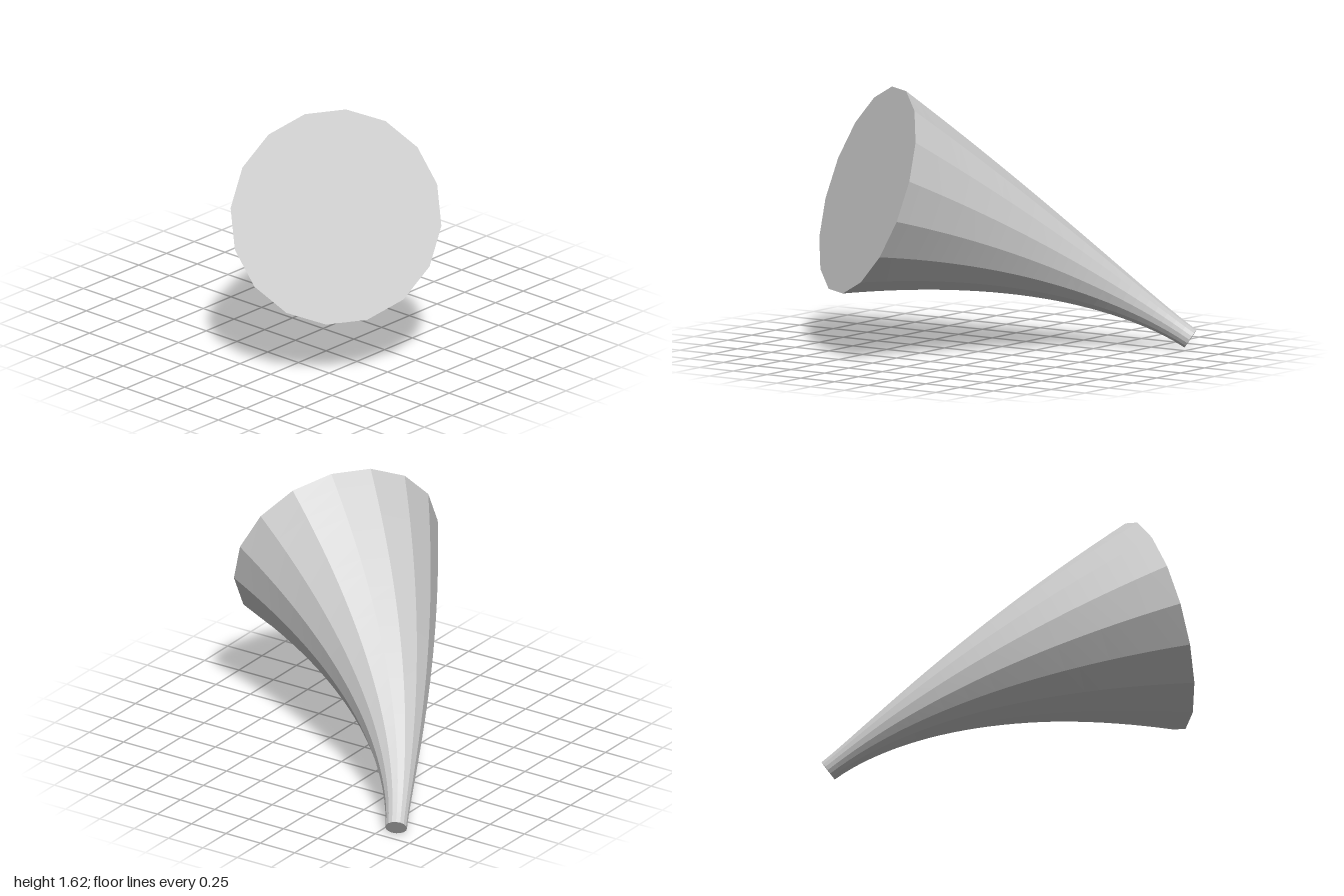
import * as THREE from 'three';

const SIDES = 16, STEPS = 28;
const TIP_RADIUS = 0.066, MOUTH_RADIUS = 0.653;

export function createModel() {
  const group = new THREE.Group();
  group.name = 'curvedHorn';
  const grey = new THREE.MeshStandardMaterial({ color: 0xcccccc, flatShading: true });
  grey.name = 'plain grey';

  // Bowed centre line, from the narrow tip to the wide mouth
  const path = new THREE.QuadraticBezierCurve3(
    new THREE.Vector3(-0.872, 0.053, -0.955),
    new THREE.Vector3(-0.505, 0.575, -0.275),
    new THREE.Vector3(0.515, 1.009, 0.455));

  // Mouth frame, carried along the path without twist
  const normal = path.getTangent(1);
  const u = new THREE.Vector3(-0.115, 0.607, -0.215).projectOnPlane(normal).normalize();
  const v = new THREE.Vector3().crossVectors(normal, u);

  // The radius flares faster towards the mouth
  const ringAt = (t) => {
    const centre = path.getPoint(t);
    const turn = new THREE.Quaternion().setFromUnitVectors(normal, path.getTangent(t));
    const r = TIP_RADIUS + (MOUTH_RADIUS - TIP_RADIUS) * Math.pow(t, 1.6);
    return Array.from({ length: SIDES }, (_, j) => {
      const a = (j / SIDES) * Math.PI * 2;
      return new THREE.Vector3()
        .addScaledVector(u, r * Math.cos(a))
        .addScaledVector(v, r * Math.sin(a))
        .applyQuaternion(turn).add(centre);
    });
  };
  const rings = Array.from({ length: STEPS + 1 }, (_, i) => ringAt(i / STEPS));

  const addMesh = (name, points) => {
    const geometry = new THREE.BufferGeometry().setFromPoints(points);
    geometry.computeVertexNormals();
    const mesh = new THREE.Mesh(geometry, grey);
    mesh.name = name;
    group.add(mesh);
  };

  // Faceted flaring wall
  const wall = [];
  for (let i = 0; i < STEPS; i++) {
    for (let j = 0; j < SIDES; j++) {
      const k = (j + 1) % SIDES;
      const a = rings[i][j], b = rings[i][k], c = rings[i + 1][k], d = rings[i + 1][j];
      wall.push(a, b, c, a, c, d);
    }
  }
  addMesh('hornWall', wall);

  // Flat end caps
  const fan = (ring, centre, flip) => ring.flatMap((p, j) => {
    const q = ring[(j + 1) % SIDES];
    return flip ? [centre, q, p] : [centre, p, q];
  });
  addMesh('tipCap', fan(rings[0], path.getPoint(0), true));
  addMesh('mouthCap', fan(rings[STEPS], path.getPoint(1), false));

  return group;
}
